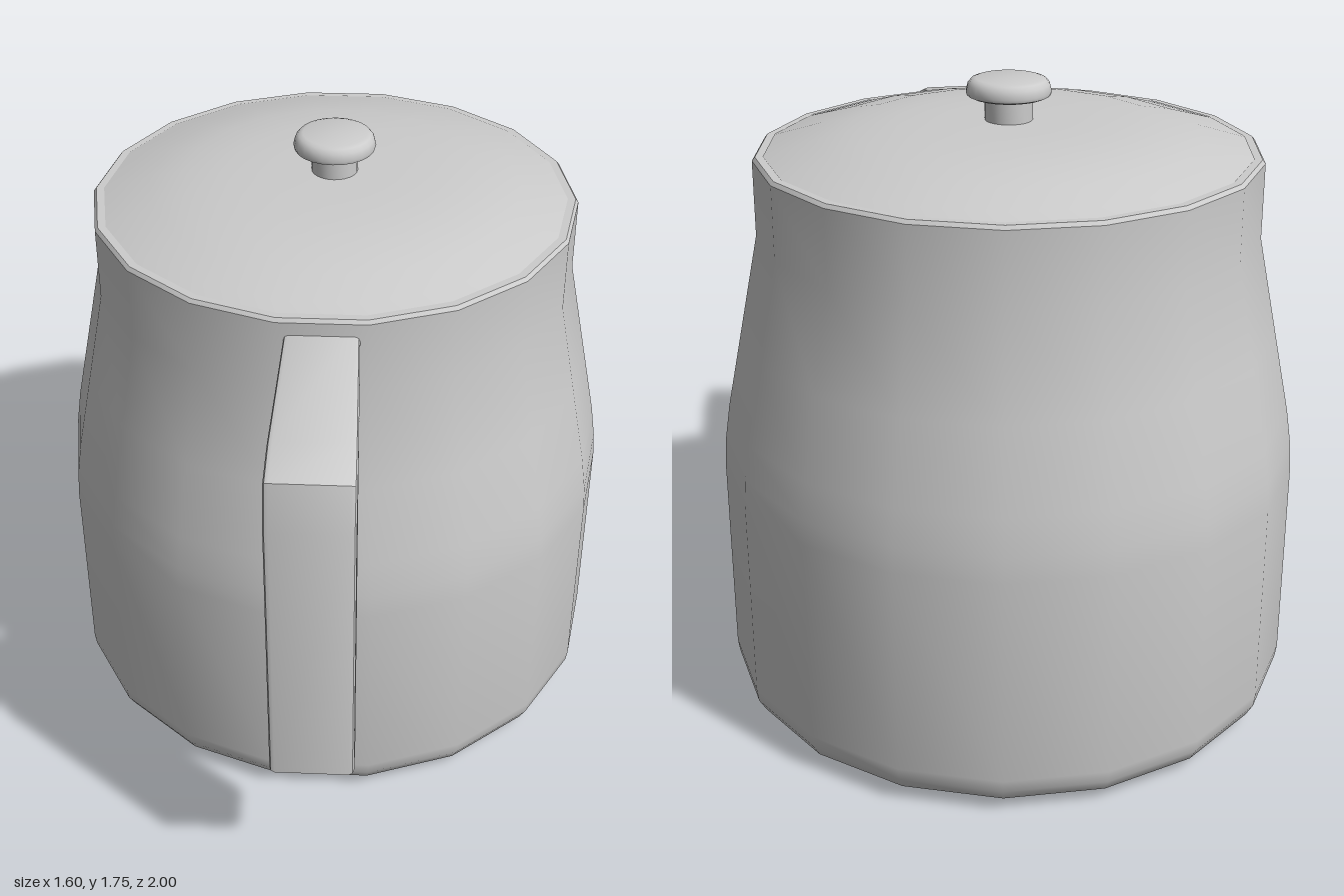
import * as THREE from 'three';
import { toCreasedNormals } from 'three/addons/utils/BufferGeometryUtils.js';

const material = new THREE.MeshStandardMaterial({ color: 0xcccccc });
const AXIS_Z = -0.21; // the pot's axis; the handle reaches forward of it

// Turned part: profile of [radius, height], bottom to top
function turned(name, profile, sides, crease = 0.6) {
  const points = profile.map(([r, y]) => new THREE.Vector2(r, y));
  const lathe = new THREE.LatheGeometry(points, sides, Math.PI / 2);
  const mesh = new THREE.Mesh(toCreasedNormals(lathe, crease), material);
  mesh.name = name;
  mesh.position.z = AXIS_Z;
  return mesh;
}

// Bent handle: side outline in (z, y), extruded across x and narrowed towards the pot
function makeHandle() {
  const outline = [
    [0.43, 1.38], [0.85, 1.315], [0.85, 0.525], [0.87, 0.505], [0.98, 0.505],
    [1.0, 0.525], [1.0, 1.32], [0.965, 1.44], [0.85, 1.475], [0.43, 1.522],
  ];
  const shape = new THREE.Shape(outline.map(([z, y]) => new THREE.Vector2(z, y)));
  const bevel = 0.014, width = 0.22;
  const geometry = new THREE.ExtrudeGeometry(shape, {
    depth: width - 2 * bevel, bevelEnabled: true, bevelSegments: 2,
    bevelSize: bevel, bevelThickness: bevel, bevelOffset: -bevel,
  });
  geometry.translate(0, 0, bevel - width / 2);
  geometry.rotateY(-Math.PI / 2);
  const p = geometry.attributes.position;
  for (let i = 0; i < p.count; i++) {
    const t = THREE.MathUtils.clamp((p.getZ(i) - 0.43) / 0.5, 0, 1);
    p.setX(i, p.getX(i) * THREE.MathUtils.lerp(0.87, 1, t));
  }
  const mesh = new THREE.Mesh(toCreasedNormals(geometry, 0.5), material);
  mesh.name = 'handle';
  return mesh;
}

export function createModel() {
  const model = new THREE.Group();
  model.name = 'lidded pot';

  // Pot wall with rounded foot, sloping shoulder and straight collar
  model.add(turned('body', [
    [0, 0], [0.68, 0], [0.735, 0.012], [0.775, 0.04], [0.795, 0.075], [0.8, 0.11],
    [0.8, 0.69], [0.795, 0.76], [0.78, 0.86], [0.735, 1.08], [0.68, 1.35],
    [0.68, 1.555], [0.672, 1.565], [0.65, 1.565],
  ], 18));

  // Shallow domed lid
  model.add(turned('lid', [
    [0.662, 1.56], [0.61, 1.576], [0.52, 1.603], [0.42, 1.624],
    [0.3, 1.636], [0.18, 1.64], [0, 1.64],
  ], 18));

  // Knob on the lid
  model.add(turned('knobStem', [[0.064, 1.63], [0.064, 1.71]], 24));
  model.add(turned('knobCap', [
    [0, 1.703], [0.1, 1.703], [0.111, 1.708], [0.114, 1.717], [0.109, 1.737],
    [0.1, 1.748], [0.088, 1.752], [0, 1.752],
  ], 24, 0.8));

  model.add(makeHandle());
  return model;
}
